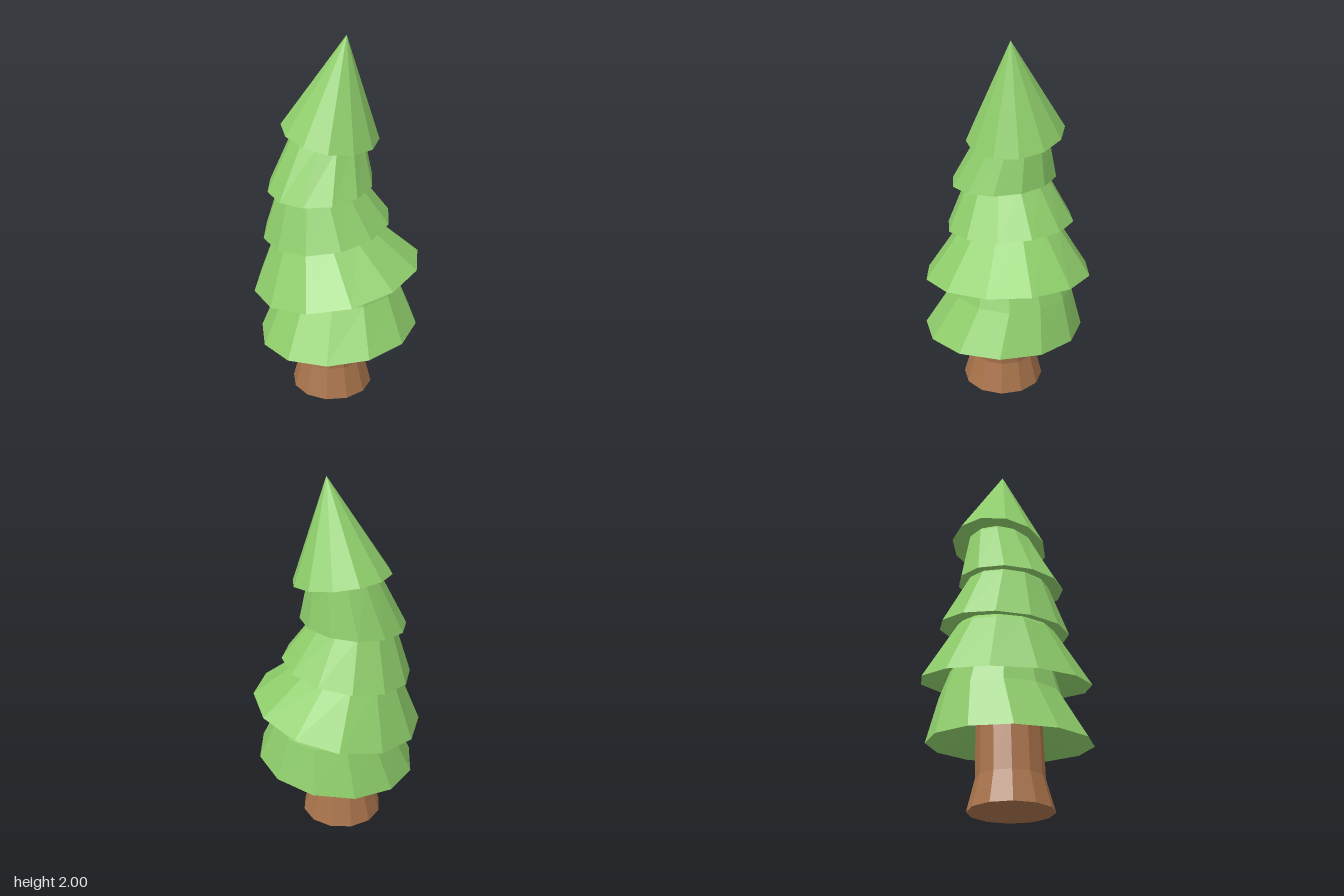
import * as THREE from 'three';

const SIDES = 12;

// Point on a ring given as [cx, cy, cz, radius, slopeX, slopeZ]
function ringPoint([cx, cy, cz, r, sx = 0, sz = 0], angle) {
  const dx = r * Math.cos(angle), dz = r * Math.sin(angle);
  return [cx + dx, cy + sx * dx + sz * dz, cz + dz];
}

// Faceted skin through a stack of tilted rings; radius 0 closes to a point
function loft(rings, phaseDegrees) {
  const positions = [];
  const phase = THREE.MathUtils.degToRad(phaseDegrees);
  for (let k = 0; k < rings.length - 1; k++) {
    for (let i = 0; i < SIDES; i++) {
      const a0 = phase + (i / SIDES) * Math.PI * 2;
      const a1 = phase + ((i + 1) / SIDES) * Math.PI * 2;
      const a = ringPoint(rings[k], a0), b = ringPoint(rings[k], a1);
      const c = ringPoint(rings[k + 1], a0), d = ringPoint(rings[k + 1], a1);
      if (rings[k + 1][3] > 0) positions.push(...c, ...d, ...b);
      if (rings[k][3] > 0) positions.push(...a, ...c, ...b);
      else positions.splice(positions.length, 0);
    }
  }
  const geometry = new THREE.BufferGeometry();
  geometry.setAttribute('position', new THREE.Float32BufferAttribute(positions, 3));
  geometry.computeVertexNormals();
  return geometry;
}

export function createModel() {
  const tree = new THREE.Group();
  tree.name = 'pineTree';
  const bark = new THREE.MeshStandardMaterial({ color: 0xa8734b, flatShading: true });
  const needles = new THREE.MeshStandardMaterial({ color: 0x8fce6b, flatShading: true });

  const add = (name, rings, phase, material) => {
    const mesh = new THREE.Mesh(loft(rings, phase), material);
    mesh.name = name;
    tree.add(mesh);
  };

  // Flared, slightly leaning trunk with a closed foot
  add('trunk', [
    [-0.025, 0, 0.025, 0],
    [-0.025, 0, 0.025, 0.223],
    [-0.025, 0.17, 0.022, 0.178],
    [0.015, 0.52, 0.02, 0.172],
  ], 6, bark);

  // Each tier: hollowed underside, tilted rim, then the sloping skirt
  const tiers = [
    { phase: 6, rings: [
      [0.01, 0.475, 0.02, 0.15, 0.09, 0],
      [0.01, 0.36, 0.025, 0.435, 0.093, 0],
      [0.02, 0.61, -0.02, 0.325, 0.03, 0],
      [0.0, 0.92, -0.01, 0.22],
    ] },
    { phase: -12, rings: [
      [0.01, 0.77, -0.01, 0.24, 0.19, 0],
      [0, 0.685, 0, 0.455, 0.19, -0.01],
      [-0.07, 0.95, -0.01, 0.265, 0.12, -0.04],
      [-0.08, 1.01, -0.01, 0.21, 0.12, -0.04],
    ] },
    { phase: 15, rings: [
      [-0.07, 0.98, -0.01, 0.2, 0.14, -0.06],
      [-0.055, 0.962, -0.017, 0.345, 0.14, -0.06],
      [-0.09, 1.21, 0, 0.22, 0.07, -0.08],
      [-0.09, 1.26, 0, 0.19, 0.07, -0.08],
    ] },
    { phase: 15, rings: [
      [-0.09, 1.225, 0, 0.16, 0.07, -0.08],
      [-0.085, 1.212, 0.015, 0.282, 0.07, -0.08],
      [-0.04, 1.48, -0.03, 0.185, -0.12, -0.12],
      [-0.035, 1.53, -0.035, 0.15, -0.12, -0.12],
    ] },
    { phase: 0, rings: [
      [-0.04, 1.495, -0.035, 0.13, -0.14, -0.13],
      [-0.035, 1.48, -0.042, 0.258, -0.145, -0.13],
      [0.05, 2, -0.01, 0],
    ] },
  ];
  tiers.forEach(({ phase, rings }, i) => add(`foliageTier${i + 1}`, rings, phase, needles));

  return tree;
}
